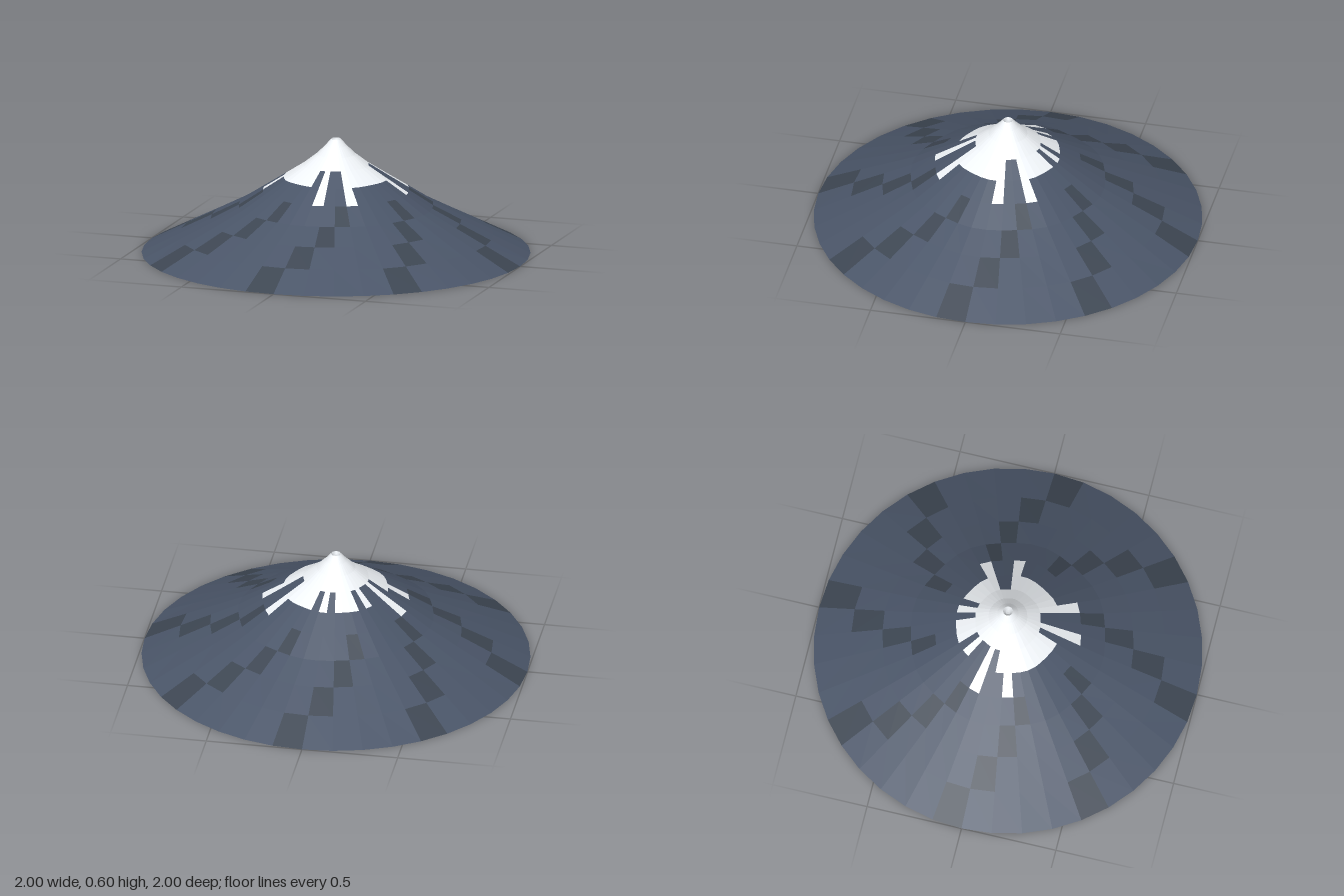
import * as THREE from 'three';

// Slope profile from the foot to the summit rim: [radius, height]
const PROFILE = [
  [1, 0], [0.81, 0.095], [0.65, 0.175], [0.505, 0.25], [0.38, 0.33], [0.27, 0.4],
  [0.17, 0.465], [0.1, 0.52], [0.055, 0.565], [0.025, 0.6],
];
const SIDES = 40;
const STREAKS = [6, 9, 16, 19, 28, 31]; // columns where snow runs further down
const GAPS = [1, 7, 8, 17, 18, 20, 30, 32, 33, 35, 39]; // columns where rock shows higher up

// Point on the slope; columns run from the back towards +x
function slopePoint(column, ring) {
  const a = (column / SIDES) * Math.PI * 2;
  const [radius, y] = PROFILE[ring];
  const ridge = 1 + 0.012 * Math.sin(8 * a + 0.6) * Math.sin((Math.PI * ring) / (PROFILE.length - 1));
  const r = radius * ridge;
  return [Math.sin(a) * r, y, -Math.cos(a) * r];
}

// Which surface covers a facet
function coverOf(column, band) {
  if (band >= 6) return 'snowCap';
  if (band === 5 && !GAPS.includes(column)) return 'snowCap';
  if (band === 4 && STREAKS.includes(column)) return 'snowCap';
  return band < 4 && (column + band) % 5 === 0 ? 'darkRock' : 'rockSlope';
}

function flatMesh(name, positions, color) {
  const geometry = new THREE.BufferGeometry();
  geometry.setAttribute('position', new THREE.Float32BufferAttribute(positions, 3));
  geometry.computeVertexNormals();
  const material = new THREE.MeshStandardMaterial({ color, flatShading: true, side: THREE.DoubleSide });
  const mesh = new THREE.Mesh(geometry, material);
  mesh.name = name;
  return mesh;
}

export function createModel() {
  const group = new THREE.Group();
  group.name = 'mountain';

  // Sort the slope facets into rock, dark rock and snow
  const faces = { rockSlope: [], darkRock: [], snowCap: [] };
  for (let band = 0; band < PROFILE.length - 1; band++) {
    for (let column = 0; column < SIDES; column++) {
      const a = slopePoint(column, band);
      const b = slopePoint(column + 1, band);
      const c = slopePoint(column + 1, band + 1);
      const d = slopePoint(column, band + 1);
      faces[coverOf(column, band)].push(...a, ...c, ...b, ...a, ...d, ...c);
    }
  }
  group.add(flatMesh('rockSlope', faces.rockSlope, 0x4a5568));
  group.add(flatMesh('darkRock', faces.darkRock, 0x3d4652));
  group.add(flatMesh('snowCap', faces.snowCap, 0xf0f4f8));

  // Shallow crater sunk into the summit
  const crater = new THREE.Mesh(
    new THREE.LatheGeometry([new THREE.Vector2(0, 0.585), new THREE.Vector2(0.012, 0.587), new THREE.Vector2(0.025, 0.6)], SIDES),
    new THREE.MeshStandardMaterial({ color: 0xd8dce0, flatShading: true, side: THREE.DoubleSide }),
  );
  crater.name = 'crater';
  group.add(crater);
  return group;
}
